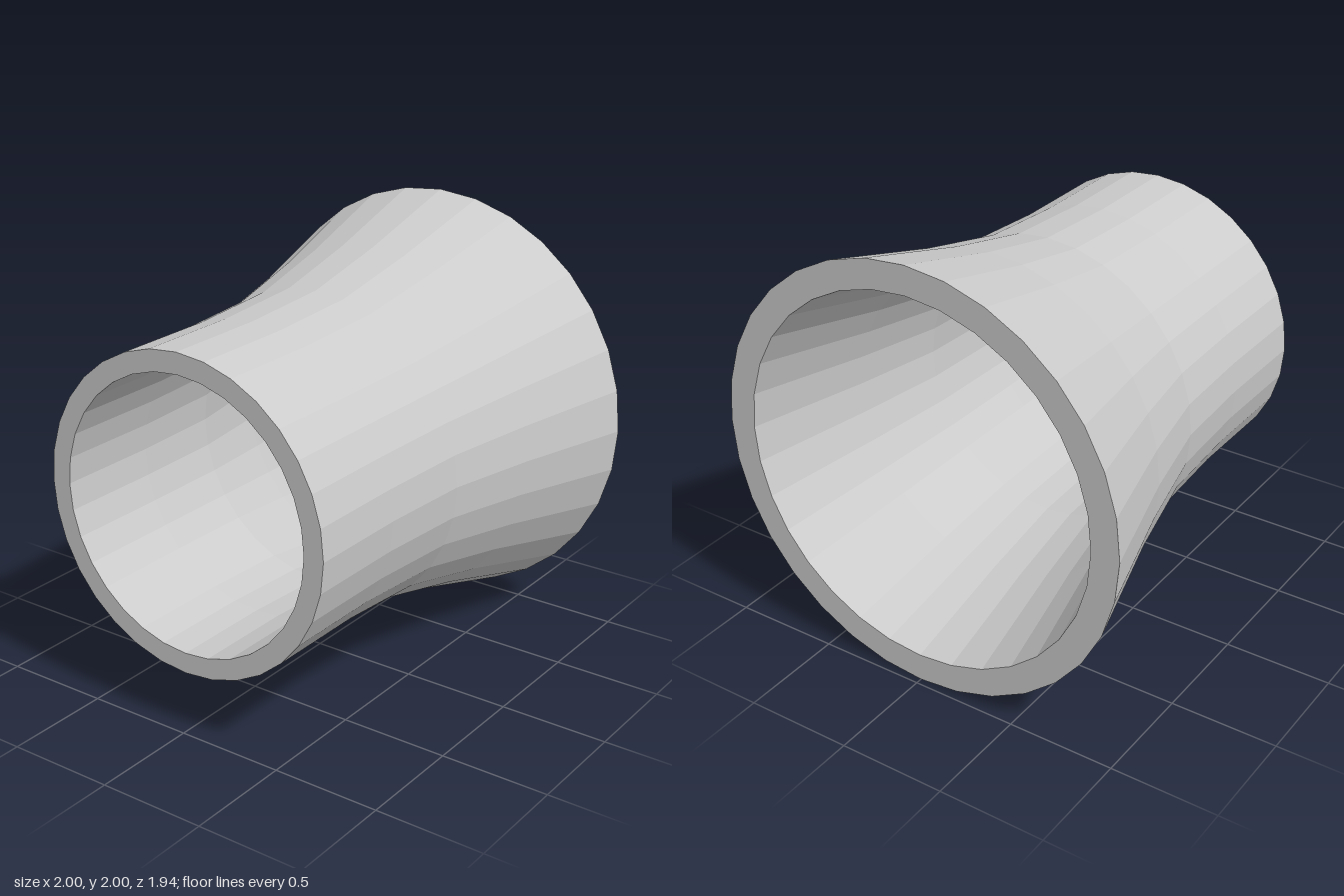
import * as THREE from 'three';

export function createModel() {
  const group = new THREE.Group();
  group.name = 'flaredPipe';

  // Outer wall as [radius, z], from the wide back rim to the narrow front rim
  const outer = [[1, -0.97], [0.84, -0.4], [0.745, 0.03], [0.72, 0.48], [0.72, 0.97]];
  const boreRatio = 0.868;

  // Closed profile: outer wall, front rim, bore, back rim
  const inner = outer.map(([r, z]) => [r * boreRatio, z]).reverse();
  const profile = [...outer, ...inner, outer[0]].map(([r, z]) => new THREE.Vector2(r, z));

  // Revolve, then lay the axis along z
  const geometry = new THREE.LatheGeometry(profile, 32);
  geometry.rotateX(Math.PI / 2);

  const material = new THREE.MeshStandardMaterial({ color: 0xcccccc, flatShading: true });
  const pipe = new THREE.Mesh(geometry, material);
  pipe.name = 'pipeWall';
  pipe.position.y = 1;
  group.add(pipe);
  return group;
}
